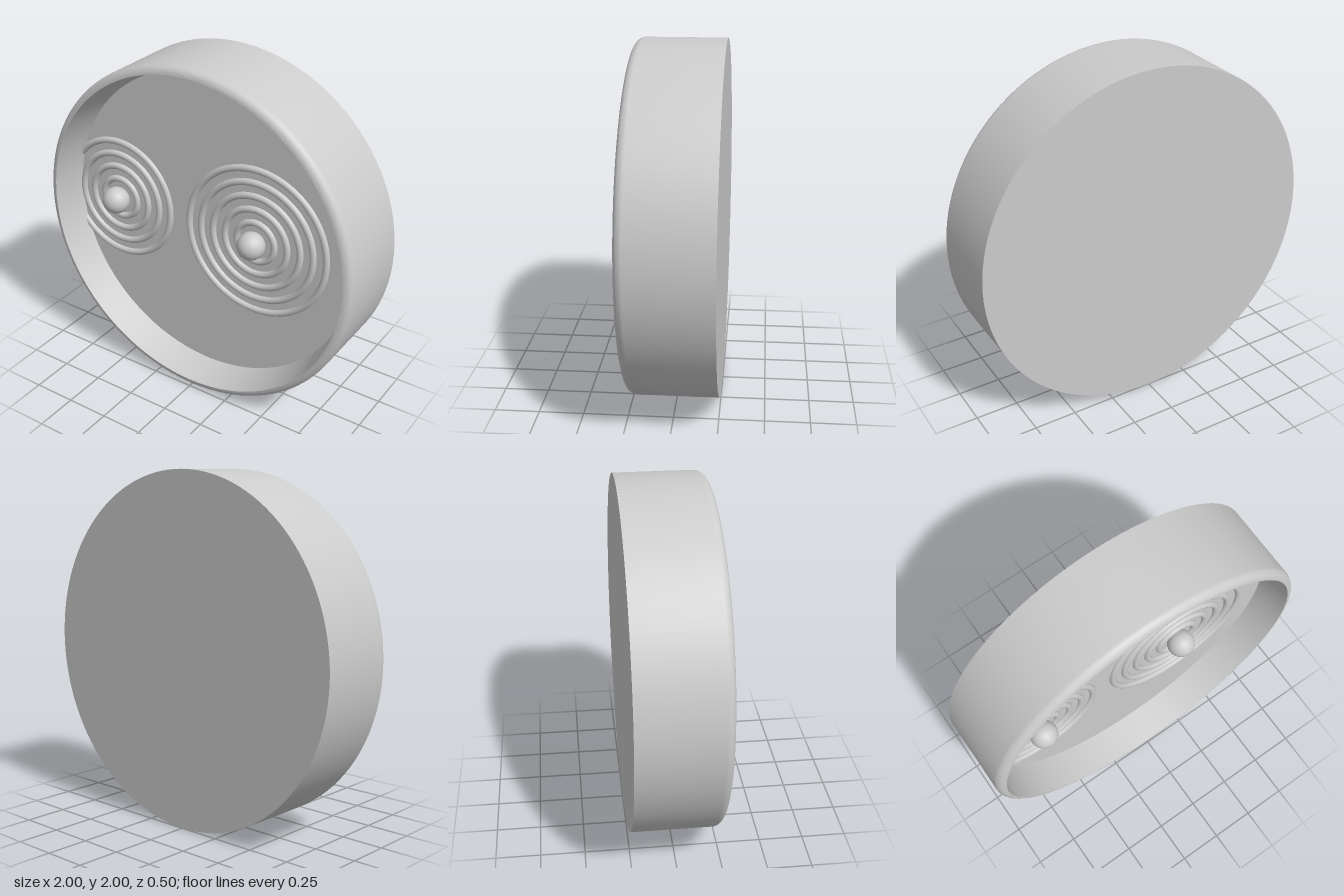
import * as THREE from 'three';
import { toCreasedNormals } from 'three/addons/utils/BufferGeometryUtils.js';

const FLOOR_Z = 0.05;
const CENTRE_Y = 1.005;

export function createModel() {
  const model = new THREE.Group();
  const material = new THREE.MeshStandardMaterial({ color: 0xcccccc });

  function add(name, geometry, x, y, z, parent = model) {
    const mesh = new THREE.Mesh(geometry, material);
    mesh.name = name;
    mesh.position.set(x, y, z);
    parent.add(mesh);
    return mesh;
  }

  // Shallow dish: flat back, straight side, rounded lip, tapered inner wall, flat floor
  const profile = [new THREE.Vector2(0, -0.25), new THREE.Vector2(1, -0.25)];
  for (let i = 0; i <= 8; i++) {
    const a = (i / 8) * Math.PI / 2;
    profile.push(new THREE.Vector2(0.952 + 0.048 * Math.cos(a), 0.202 + 0.048 * Math.sin(a)));
  }
  profile.push(new THREE.Vector2(0.915, FLOOR_Z), new THREE.Vector2(0, FLOOR_Z));
  const dish = toCreasedNormals(new THREE.LatheGeometry(profile, 128).rotateX(Math.PI / 2), 0.6);
  add('dish', dish, 0, 1, 0);

  // Concentric raised rings around a ball, half sunk in the floor
  function ripple(name, x, ringCount) {
    const group = new THREE.Group();
    group.name = name;
    group.position.set(x, CENTRE_Y, FLOOR_Z);
    model.add(group);
    for (let i = 0; i < ringCount; i++) {
      add('ring', new THREE.TorusGeometry(0.12 + 0.08 * i, 0.02, 12, 96), 0, 0, 0, group);
    }
    add('ball', new THREE.SphereGeometry(0.08, 32, 24), 0, 0, 0.05, group);
  }
  ripple('rightRipple', -0.62, 4);
  ripple('leftRipple', 0.315, 5);

  return model;
}
